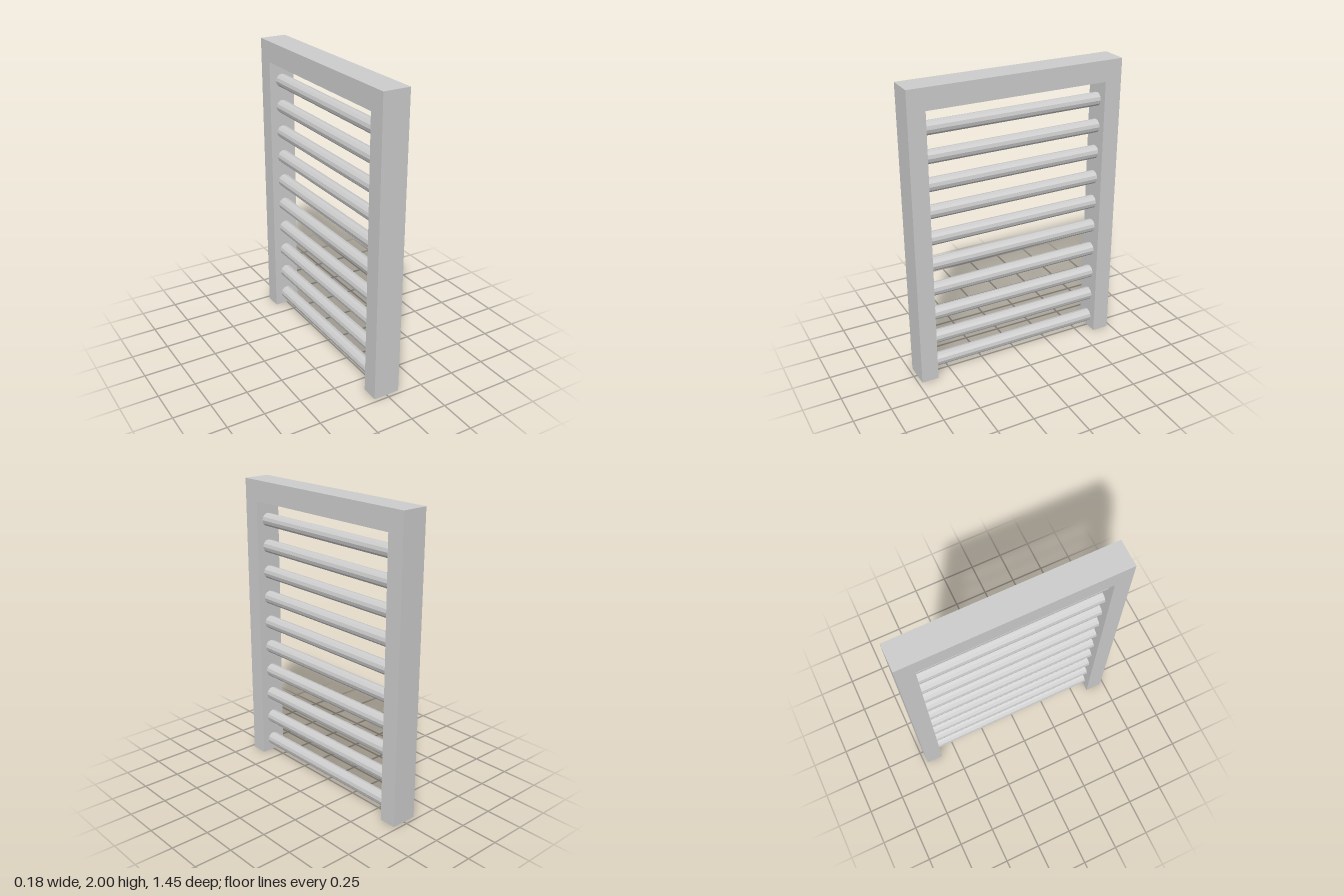
import * as THREE from 'three';

const HALF = 0.725, INNER = 0.61, TOP = 2, LINTEL = 1.86, DEPTH = 0.18;

// Removes the triangles that lie flat on the ground, leaving the posts open below
function openBottom(geometry) {
  const p = geometry.getAttribute('position');
  const kept = [];
  for (let i = 0; i < p.count; i += 3) {
    const onGround = [0, 1, 2].every((k) => Math.abs(p.getY(i + k)) < 1e-4);
    if (onGround) continue;
    for (let k = 0; k < 3; k++) kept.push(p.getX(i + k), p.getY(i + k), p.getZ(i + k));
  }
  const open = new THREE.BufferGeometry();
  open.setAttribute('position', new THREE.Float32BufferAttribute(kept, 3));
  open.computeVertexNormals();
  return open;
}

export function createModel() {
  const model = new THREE.Group();
  model.name = 'barredFrame';
  const material = new THREE.MeshStandardMaterial({
    color: 0xcccccc, flatShading: true, side: THREE.DoubleSide,
  });

  // Hollow frame: two posts joined by a top rail
  const outline = new THREE.Shape([
    [-HALF, 0], [-INNER, 0], [-INNER, LINTEL], [INNER, LINTEL],
    [INNER, 0], [HALF, 0], [HALF, TOP], [-HALF, TOP],
  ].map(([z, y]) => new THREE.Vector2(z, y)));
  const frameGeometry = new THREE.ExtrudeGeometry(outline, { depth: DEPTH, bevelEnabled: false });
  frameGeometry.translate(0, 0, -DEPTH / 2).rotateY(-Math.PI / 2);
  const frame = new THREE.Mesh(openBottom(frameGeometry), material);
  frame.name = 'frame';
  model.add(frame);

  // Evenly spaced round bars, their ends just through the posts' inner walls
  const barGeometry = new THREE.CylinderGeometry(0.045, 0.045, 2 * INNER + 0.01, 12);
  barGeometry.rotateX(Math.PI / 2);
  const bars = new THREE.Group();
  bars.name = 'bars';
  for (let i = 0; i < 10; i++) {
    const bar = new THREE.Mesh(barGeometry, material);
    bar.name = `bar${i + 1}`;
    bar.position.y = 0.088 + i * 0.182;
    bars.add(bar);
  }
  model.add(bars);

  return model;
}
